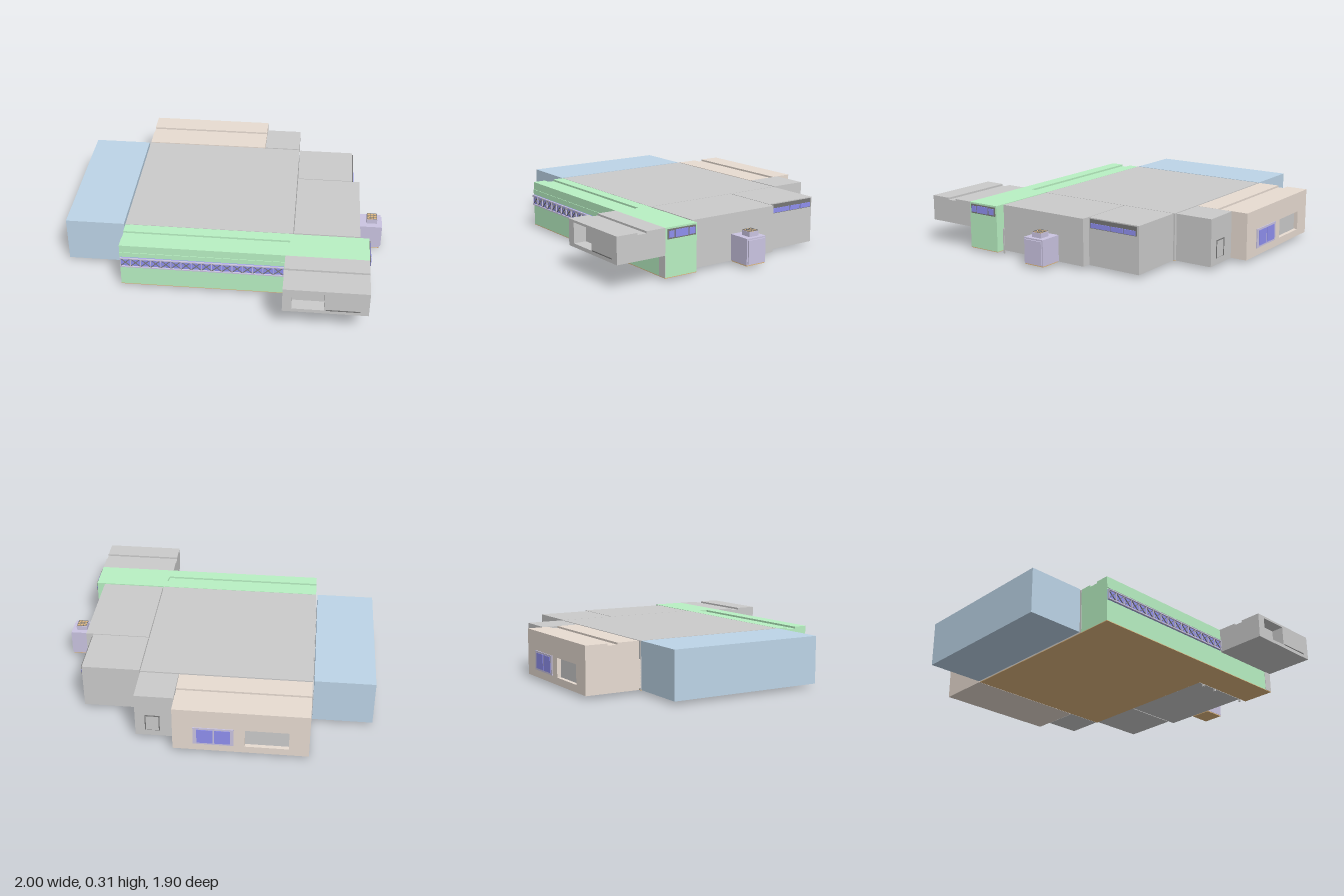
import * as THREE from 'three';

const paint = (color) => new THREE.MeshStandardMaterial({ color, flatShading: true });

export function createModel() {
  const model = new THREE.Group();
  const grey = paint(0xcccccc), green = paint(0xb9f1c3), blue = paint(0xbdd5e8);
  const beige = paint(0xe8dcd2), purple = paint(0xcbc5e2), glass = paint(0x9090f0);
  const tan = paint(0xe0b880), dark = paint(0x777777);
  const Y0 = 0.02, Y1 = 0.31;

  const add = (name, geometry, material, parent = model) => {
    const mesh = new THREE.Mesh(geometry, material);
    mesh.name = name;
    parent.add(mesh);
    return mesh;
  };
  // Box given by its limits on each axis
  const box = (name, mat, x0, x1, y0, y1, z0, z1, parent = model) => {
    const g = new THREE.BoxGeometry(x1 - x0, y1 - y0, z1 - z0);
    g.translate((x0 + x1) / 2, (y0 + y1) / 2, (z0 + z1) / 2);
    return add(name, g, mat, parent);
  };
  // Room whose roof has a shallow groove running along x
  const groovedRoom = (name, mat, x0, x1, y0, z0, z1, g0, g1) => {
    const d = Y1 - 0.012;
    const pts = [[z0, y0], [z1, y0], [z1, Y1], [g1, Y1], [g1, d], [g0, d], [g0, Y1], [z0, Y1]];
    const shape = new THREE.Shape(pts.map(([z, y]) => new THREE.Vector2(-z, y)));
    const g = new THREE.ExtrudeGeometry(shape, { depth: x1 - x0, bevelEnabled: false });
    g.rotateY(Math.PI / 2).translate(x0, 0, 0);
    return add(name, g, mat);
  };
  // Upright wall in the xy plane with a rectangular opening
  const openWall = (name, mat, [x0, x1, y0, y1], [a0, a1, b0, b1], z, depth) => {
    const rect = (T, l, r, b, t) => new T([[l, b], [r, b], [r, t], [l, t]].map((p) => new THREE.Vector2(...p)));
    const shape = rect(THREE.Shape, x0, x1, y0, y1);
    shape.holes.push(rect(THREE.Path, a0, a1, b0, b1));
    const g = new THREE.ExtrudeGeometry(shape, { depth, bevelEnabled: false });
    return add(name, g.translate(0, 0, z), mat);
  };

  // Flat-roofed rooms
  box('sideRoom', blue, -1, -0.63, Y0, Y1, -0.585, 0.405);
  box('mainHall', grey, -0.62, 0.432, Y0, Y1, -0.585, 0.405);
  box('smallBackRoom', grey, 0.193, 0.43, Y0, Y1, -0.835, -0.595);
  box('backSideRoom', grey, 0.437, 0.797, Y0, Y1, -0.578, -0.222);
  box('frontSideRoom', grey, 0.437, 0.845, Y0, Y1, -0.216, 0.4);
  box('hallFloor', tan, -0.62, 0.43, 0.016, Y0, -0.585, 0.41);
  box('corridorFloor', tan, -0.62, 0.9, 0.016, Y0, 0.41, 0.63);

  // Back room with a grooved roof and a recessed opening
  groovedRoom('backRoom', beige, -0.62, 0.19, Y0, -0.91, -0.595, -0.8, -0.735);
  openWall('backWall', beige, [-0.62, 0.19, Y0, Y1], [-0.5, -0.24, 0.065, 0.185], -0.94, 0.03);
  box('recessPanel', grey, -0.5, -0.24, 0.065, 0.185, -0.915, -0.908);

  // Back window: frame, panes and mullions
  const backWindow = new THREE.Group();
  backWindow.name = 'backWindow';
  model.add(backWindow);
  box('frame', purple, -0.175, 0.068, 0.068, 0.188, -0.946, -0.938, backWindow);
  for (const [a, b] of [[-0.155, -0.06], [-0.05, 0.045]])
    box('pane', glass, a, b, 0.08, 0.176, -0.949, -0.944, backWindow);
  openWall('smallRoomDoorFrame', dark, [0.28, 0.37, 0.06, 0.17], [0.286, 0.364, 0.06, 0.164], -0.838, 0.004);

  // Front corridor: grooved roof and slanted end section
  groovedRoom('corridor', green, -0.62, 0.43, Y0, 0.408, 0.63, 0.48, 0.545);
  const plan = new THREE.Shape([[0.43, -0.41], [0.395, -0.63], [0.9, -0.63], [0.9, -0.41]].map((p) => new THREE.Vector2(...p)));
  const endGeo = new THREE.ExtrudeGeometry(plan, { depth: Y1 - Y0, bevelEnabled: false });
  add('corridorEnd', endGeo.rotateX(-Math.PI / 2).translate(0, Y0, 0), green);
  box('cornerPost', grey, 0.845, 0.9, Y0, 0.15, 0.628, 0.632);
  box('frontLedge', green, -0.62, 0.395, 0.235, 0.26, 0.63, 0.634);

  // Long front window with crossed bracing
  const truss = new THREE.Group();
  truss.name = 'bracedWindow';
  model.add(truss);
  const tx0 = -0.615, tx1 = 0.388, ty0 = 0.157, ty1 = 0.225, bays = 16;
  box('glazing', glass, tx0, tx1, ty0, ty1, 0.63, 0.635, truss);
  for (const y of [ty0, ty1 - 0.007]) box('rail', purple, tx0, tx1, y, y + 0.007, 0.634, 0.645, truss);
  const step = (tx1 - tx0) / bays, rise = ty1 - ty0 - 0.01;
  for (let i = 0; i <= bays; i++) {
    const x = tx0 + i * step;
    box('post', purple, x - 0.002, x + 0.002, ty0, ty1, 0.634, 0.643, truss);
    if (i === bays) break;
    for (const s of [-1, 1]) {
      const brace = add('brace', new THREE.BoxGeometry(Math.hypot(step, rise), 0.004, 0.005), dark, truss);
      brace.position.set(x + step / 2, (ty0 + ty1) / 2, 0.638);
      brace.rotation.z = s * Math.atan2(rise, step);
    }
  }

  // Raised front room with an open bay and a thin sill
  groovedRoom('frontRoom', grey, 0.395, 0.9, 0.15, 0.63, 0.87, 0.755, 0.815);
  openWall('frontRoomWall', grey, [0.395, 0.9, 0.15, Y1], [0.45, 0.64, 0.172, 0.296], 0.87, 0.08);
  box('frontSill', dark, 0.65, 0.85, 0.172, 0.178, 0.948, 0.953);

  // Side windows: frame and panes facing +x
  const sideWindow = (name, x, y0, y1, z0, z1, panes) => {
    const g = new THREE.Group();
    g.name = name;
    model.add(g);
    box('frame', dark, x - 0.004, x + 0.006, y0, y1, z0, z1, g);
    for (const [a, b, low, high] of panes) box('pane', glass, x, x + 0.01, low, high, a, b, g);
  };
  sideWindow('corridorWindow', 0.9, 0.243, 0.3, 0.42, 0.615, [
    [0.428, 0.468, 0.252, 0.29], [0.477, 0.565, 0.25, 0.293], [0.573, 0.608, 0.252, 0.29]]);
  sideWindow('backSideWindow', 0.797, 0.248, 0.304, -0.565, -0.235, [
    [-0.558, -0.477, 0.252, 0.28], [-0.47, -0.39, 0.252, 0.28], [-0.383, -0.242, 0.252, 0.28]]);

  // Porch booth with a door and a gridded vent on top
  const booth = new THREE.Group();
  booth.name = 'porchBooth';
  model.add(booth);
  box('body', purple, 0.845, 0.99, 0.024, 0.184, -0.03, 0.112, booth);
  box('base', tan, 0.85, 0.988, 0.018, 0.024, -0.028, 0.11, booth);
  box('door', purple, 0.988, 0.998, 0.03, 0.174, -0.022, 0.104, booth);
  box('ventShaft', purple, 0.895, 0.965, 0.184, 0.214, 0.003, 0.073, booth);
  box('ventTop', tan, 0.898, 0.962, 0.212, 0.216, 0.006, 0.07, booth);
  for (let i = 0; i < 4; i++) {
    const o = i * 0.0203;
    box('grille', dark, 0.898 + o, 0.901 + o, 0.215, 0.218, 0.006, 0.07, booth);
    box('grille', dark, 0.898, 0.962, 0.215, 0.218, 0.006 + o, 0.009 + o, booth);
  }

  // Door linings bridging the narrow gaps between rooms
  for (const [a, b] of [[-0.62, -0.475], [-0.22, 0.1], [0.26, 0.37]])
    box('backDoorLining', beige, a, b, 0.03, 0.2, -0.597, -0.583);
  for (let i = 0; i < 5; i++)
    box('sideDoorLining', grey, -0.632, -0.618, 0.03, 0.2, -0.57 + i * 0.195, -0.42 + i * 0.195);
  for (const x of [0.465, 0.58, 0.84])
    box('corridorDoorLining', grey, x, x + 0.008, 0, 0.16, 0.398, 0.412);
  return model;
}
